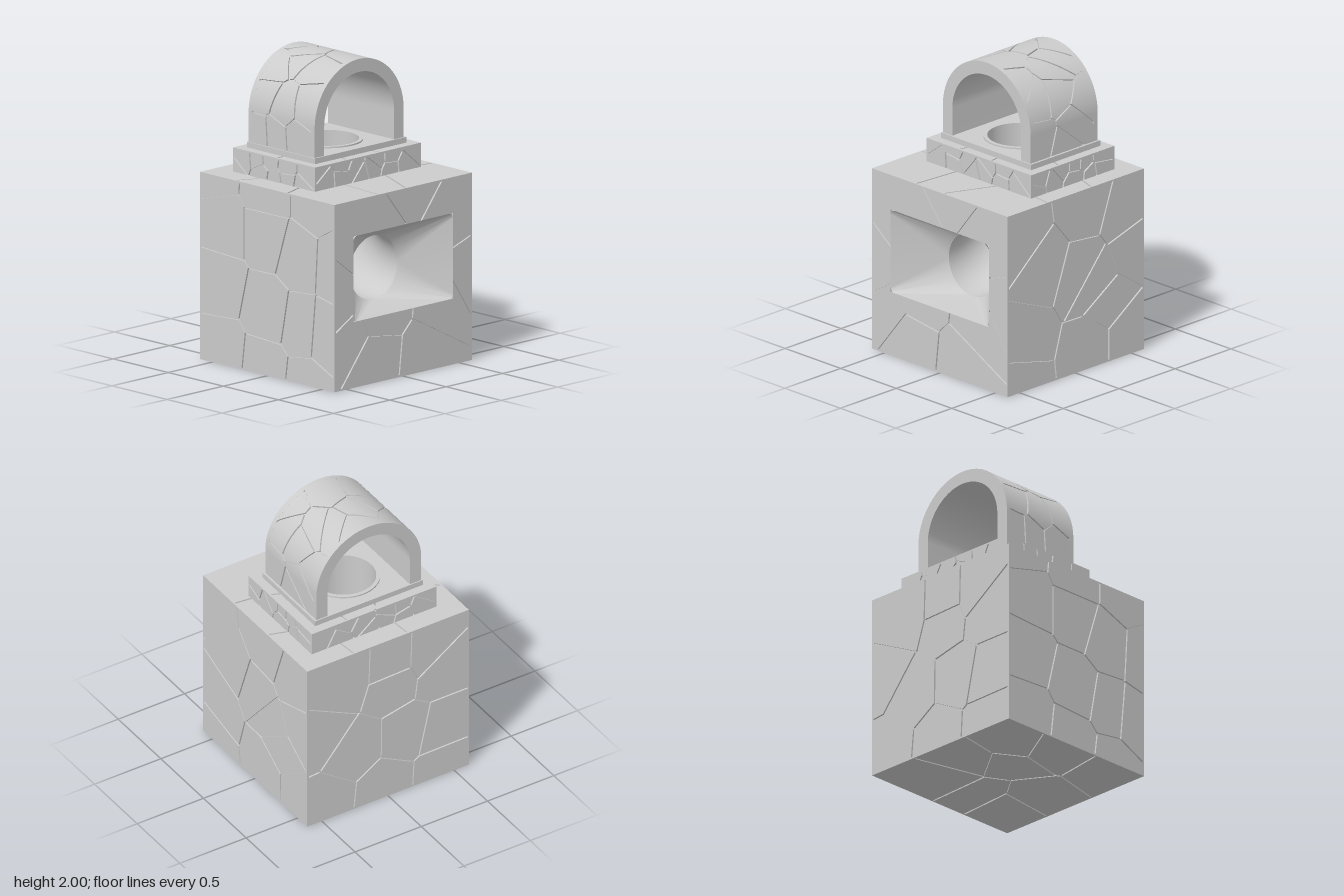
import * as THREE from 'three';
import { toCreasedNormals } from 'three/addons/utils/BufferGeometryUtils.js';

const GAP = 0.011, DEPTH = 0.012;            // width and depth of the cracks
const CX = -0.1, CZ = -0.01;                 // axis of arch and chute
const PIPE_R = 0.21, PIPE_Y = 0.66, MOUTH_X = 0.33, FLOOR_Y = 1.42;
const V = (x, y, z) => new THREE.Vector3(x, y, z);
const material = new THREE.MeshStandardMaterial({ color: 0xcccccc });
const thinMaterial = new THREE.MeshStandardMaterial({ color: 0xcccccc, side: THREE.DoubleSide });

function mesh(name, geometry, mat = material) {
  const m = new THREE.Mesh(geometry, mat);
  m.name = name;
  return m;
}

// Keep the part of a convex polygon where a*u + b*v <= c
function clip(poly, a, b, c) {
  const out = [];
  poly.forEach((p, i) => {
    const q = poly[(i + 1) % poly.length];
    const dp = a * p[0] + b * p[1] - c, dq = a * q[0] + b * q[1] - c;
    if (dp <= 0) out.push(p);
    if ((dp < 0 && dq > 0) || (dp > 0 && dq < 0)) {
      const t = dp / (dp - dq);
      out.push([p[0] + (q[0] - p[0]) * t, p[1] + (q[1] - p[1]) * t]);
    }
  });
  return out;
}

// Seed points on a shaken grid
function scatter(w, h, nu, nv, seed) {
  const rnd = () => (seed = (seed * 16807) % 2147483647) / 2147483647;
  rnd();
  const pts = [];
  for (let i = 0; i < nu; i++) for (let j = 0; j < nv; j++)
    pts.push([(i + 0.1 + 0.8 * rnd()) * w / nu, (j + 0.1 + 0.8 * rnd()) * h / nv]);
  return pts;
}

// Stone plates: Voronoi cells cut to regions, raised over the backing by map(u, v) -> { p, n }
function plates(w, h, seeds, regions, map) {
  const pos = [], nor = [];
  const tri = (pts, ns) => pts.forEach((p, i) => { pos.push(...p); nor.push(...ns[i]); });
  for (const s of seeds) {
    let cell = [[0, 0], [w, 0], [w, h], [0, h]];
    for (const o of seeds) {
      if (o === s) continue;
      const du = o[0] - s[0], dv = o[1] - s[1], l = Math.hypot(du, dv);
      cell = clip(cell, du / l, dv / l, (du * (o[0] + s[0]) + dv * (o[1] + s[1])) / (2 * l) - GAP / 2);
    }
    for (const [u0, u1, v0, v1] of regions) {
      let piece = clip(clip(cell, -1, 0, -u0), 1, 0, u1);
      piece = clip(clip(piece, 0, -1, -v0), 0, 1, v1);
      if (piece.length < 3) continue;
      const top = piece.map(([u, v]) => map(u, v));
      for (let i = 1; i < top.length - 1; i++) {
        const t = [top[0], top[i], top[i + 1]];
        tri(t.map(e => e.p), t.map(e => e.n));
      }
      top.forEach((a, i) => {                // walls down into the crack
        const b = top[(i + 1) % top.length];
        const a2 = a.p.clone().addScaledVector(a.n, -DEPTH), b2 = b.p.clone().addScaledVector(b.n, -DEPTH);
        const n = b.p.clone().sub(a.p).cross(a.n).normalize();
        tri([a2, b2, b.p], [n, n, n]);
        tri([a2, b.p, a.p], [n, n, n]);
      });
    }
  }
  const g = new THREE.BufferGeometry();
  g.setAttribute('position', new THREE.Float32BufferAttribute(pos, 3));
  g.setAttribute('normal', new THREE.Float32BufferAttribute(nor, 3));
  return g;
}

function rect(x0, y0, x1, y1) {
  return new THREE.Shape([[x0, y0], [x1, y0], [x1, y1], [x0, y1]].map(p => new THREE.Vector2(...p)));
}
const circle = (x, y, r) => new THREE.Path().absarc(x, y, r, 0, Math.PI * 2, true);

// One flat cracked side: backing panel plus plates, with optional opening
function crackedFace(name, o, U, Vv, w, h, seeds, open, hole) {
  const N = U.clone().cross(Vv), group = new THREE.Group();
  group.name = name;
  const shape = rect(0, 0, w, h);
  if (hole) shape.holes.push(hole);
  const back = new THREE.ShapeGeometry(shape, 48);
  back.applyMatrix4(new THREE.Matrix4().makeBasis(U, Vv, N).setPosition(o.clone().addScaledVector(N, -DEPTH)));
  const regions = open
    ? [[0, open[0], 0, h], [open[1], w, 0, h], [open[0], open[1], 0, open[2]], [open[0], open[1], open[3], h]]
    : [[0, w, 0, h]];
  const map = (u, v) => ({ p: o.clone().addScaledVector(U, u).addScaledVector(Vv, v), n: N });
  group.add(mesh(name + 'Backing', back), mesh(name + 'Plates', plates(w, h, seeds, regions, map)));
  return group;
}

// Square to round transition: rounded window rim and round throat, point for point
function funnelRings(hw, hh, r) {
  const rim = [], throat = [];
  for (let q = 0; q < 4; q++) for (let i = 0; i <= 12; i++) {
    const a = (q + i / 12) * Math.PI / 2, c = Math.cos(a), s = Math.sin(a);
    const sx = q === 0 || q === 3 ? 1 : -1, sy = q < 2 ? 1 : -1;
    rim.push([sx * (hw - r) + r * c, 0.71 + sy * (hh - r) + r * s]);   // (-z, y)
    throat.push([-CZ + PIPE_R * c, PIPE_Y + PIPE_R * s]);
  }
  return { rim, throat };
}

// Arch outline in (-z, y), radius shrunk by d
function archShape(d) {
  const R = 0.395 - d, r = 0.31, c = -CZ, y = 1.605, s = new THREE.Shape();
  s.moveTo(c + R, FLOOR_Y).lineTo(c + R, y).absarc(c, y, R, 0, Math.PI, false);
  s.lineTo(c - R, FLOOR_Y).lineTo(c - r, FLOOR_Y).lineTo(c - r, y).absarc(c, y, r, Math.PI, 0, true);
  s.lineTo(c + r, FLOOR_Y);
  return s;
}
function archPart(name, x0, x1, d) {
  const g = new THREE.ExtrudeGeometry(archShape(d), { depth: x1 - x0, bevelEnabled: false, curveSegments: 40 });
  g.rotateY(Math.PI / 2).translate(x0, 0, 0);
  return mesh(name, toCreasedNormals(g, 0.5));
}

export function createModel() {
  const model = new THREE.Group();
  const X = V(1, 0, 0), Y = V(0, 1, 0), Z = V(0, 0, 1), nX = V(-1, 0, 0), nZ = V(0, 0, -1);
  const H = 0.61, T = 1.225, W = 2 * H;
  const { rim, throat } = funnelRings(0.442, 0.28, 0.035);

  // Cubic block
  const frontSeeds = [[-0.42, 0.93], [-0.44, 0.53], [-0.42, 0.1], [0, 0.93], [0, 0.42], [0.31, 0.36], [0.28, 0.84],
    [0.62, 0.82], [0.0, 1.2], [0.52, 0.34], [-0.02, 0.05], [-0.5, 1.25], [0.42, 1.2], [0.36, 0.0]].map(([x, y]) => [x + H, y]);
  const rightSeeds = [[0.5, 0.33], [0.25, 0.13], [0.2, 0.48], [-0.2, 0.08], [-0.38, 0.42], [0.6, 0.5], [0.25, 0.95],
    [-0.42, 1.02], [-0.13, 1.25], [-0.58, 0.55]].map(([z, y]) => [H - z, y]);
  const block = new THREE.Group();
  block.name = 'block';
  const window = new THREE.Path(rim.map(([u, y]) => new THREE.Vector2(u + H, y)));
  block.add(
    crackedFace('blockFront', V(-H, 0, H), X, Y, W, T, frontSeeds),
    crackedFace('blockBack', V(H, 0, -H), nX, Y, W, T, scatter(W, T, 3, 4, 77)),
    crackedFace('blockWindowSide', V(H, 0, H), nZ, Y, W, T, rightSeeds, [H - 0.442, H + 0.442, 0.43, 0.99], window),
    crackedFace('blockPlainSide', V(-H, 0, -H), Z, Y, W, T, scatter(W, T, 3, 4, 1234)),
    crackedFace('blockTop', V(-H, T, H), X, nZ, W, W, scatter(W, W, 3, 3, 501), [0.15, 0.875, 0.165, 1.085],
      circle(CX + H, H - CZ, PIPE_R)),
    crackedFace('blockBottom', V(-H, 0, -H), X, Z, W, W, scatter(W, W, 3, 3, 91)));
  model.add(block);

  // Cracked step on the block
  const x0 = -0.47, x1 = 0.275, z0 = -0.485, z1 = 0.455, y1 = 1.383, sw = x1 - x0, sd = z1 - z0, sh = y1 - T;
  const step = new THREE.Group();
  step.name = 'step';
  step.add(
    crackedFace('stepFront', V(x0, T, z1), X, Y, sw, sh, scatter(sw, sh, 5, 2, 8)),
    crackedFace('stepBack', V(x1, T, z0), nX, Y, sw, sh, scatter(sw, sh, 5, 2, 19)),
    crackedFace('stepLeft', V(x1, T, z1), nZ, Y, sd, sh, scatter(sd, sh, 6, 2, 35)),
    crackedFace('stepRight', V(x0, T, z0), Z, Y, sd, sh, scatter(sd, sh, 6, 2, 47)),
    crackedFace('stepTop', V(x0, y1, z1), X, nZ, sw, sd, scatter(sw, sd, 2, 3, 63), [0.07, 0.67, 0.07, 0.87],
      circle(CX - x0, z1 - CZ, PIPE_R)));
  model.add(step);

  // Thin floor plate with the chute hole and its rim
  const floor = rect(-0.408, -0.393, 0.21, 0.42);
  floor.holes.push(circle(CX, -CZ, PIPE_R));
  const floorGeo = new THREE.ExtrudeGeometry(floor, { depth: FLOOR_Y - y1 + 0.015, bevelEnabled: false, curveSegments: 48 });
  floorGeo.rotateX(-Math.PI / 2).translate(0, y1 - 0.015, 0);
  model.add(mesh('floorPlate', toCreasedNormals(floorGeo, 0.5)));
  const lip = new THREE.LatheGeometry([[PIPE_R, 0], [0.235, 0], [0.235, 0.01], [PIPE_R, 0.01], [PIPE_R, 0]]
    .map(p => new THREE.Vector2(...p)), 48);
  const lipMesh = mesh('holeRim', toCreasedNormals(lip, 0.5), thinMaterial);
  lipMesh.position.set(CX, FLOOR_Y, CZ);
  model.add(lipMesh);

  // Chute: drops from the floor and bends out to the side
  const bend = MOUTH_X - CX, k = bend * 0.448, path = new THREE.CurvePath();
  path.add(new THREE.LineCurve3(V(CX, FLOOR_Y, CZ), V(CX, PIPE_Y + bend, CZ)));
  path.add(new THREE.CubicBezierCurve3(V(CX, PIPE_Y + bend, CZ), V(CX, PIPE_Y + k, CZ),
    V(CX + k, PIPE_Y, CZ), V(MOUTH_X, PIPE_Y, CZ)));
  model.add(mesh('chute', new THREE.TubeGeometry(path, 48, PIPE_R, 48), thinMaterial));

  // Funnel from chute mouth to side window
  const pos = [], n = rim.length;
  for (let i = 0; i < n; i++) {
    const j = (i + 1) % n;
    const P = (ring, q, x) => [x, ring[q][1], -ring[q][0]];
    const a = P(rim, i, H), b = P(rim, j, H), c = P(throat, j, MOUTH_X), d = P(throat, i, MOUTH_X);
    pos.push(...a, ...d, ...b);
    if (i % 13 !== 12) pos.push(...b, ...d, ...c);
  }
  const funnel = new THREE.BufferGeometry();
  funnel.setAttribute('position', new THREE.Float32BufferAttribute(pos, 3));
  funnel.computeVertexNormals();
  model.add(mesh('funnel', toCreasedNormals(funnel, 0.5), thinMaterial));

  // Arch: plain end bands, recessed core, curved plates over it
  const arch = new THREE.Group();
  arch.name = 'arch';
  const ax0 = -0.4, ax1 = 0.2, band = 0.033, R = 0.395, leg = 0.185, len = 2 * leg + Math.PI * R;
  arch.add(archPart('archBandRight', ax0, ax0 + band, 0), archPart('archBandLeft', ax1 - band, ax1, 0),
    archPart('archCore', ax0 + band, ax1 - band, DEPTH));
  const aw = ax1 - ax0 - 2 * band;
  const wrap = (u, s) => {
    const a = THREE.MathUtils.clamp((s - leg) / R, 0, Math.PI);
    const y = 1.605 + R * Math.sin(a) - Math.max(0, leg - s, s - len + leg);
    return { p: V(ax0 + band + u, y, CZ + R * Math.cos(a)), n: V(0, Math.sin(a), Math.cos(a)) };
  };
  const strips = [[0, aw, 0, leg], [0, aw, len - leg, len]];
  for (let i = 0; i < 40; i++)
    strips.push([0, aw, leg + Math.PI * R * i / 40, leg + Math.PI * R * (i + 1) / 40]);
  arch.add(mesh('archPlates', plates(aw, len, scatter(aw, len, 3, 7, 2024), strips, wrap)));
  model.add(arch);
  return model;
}
